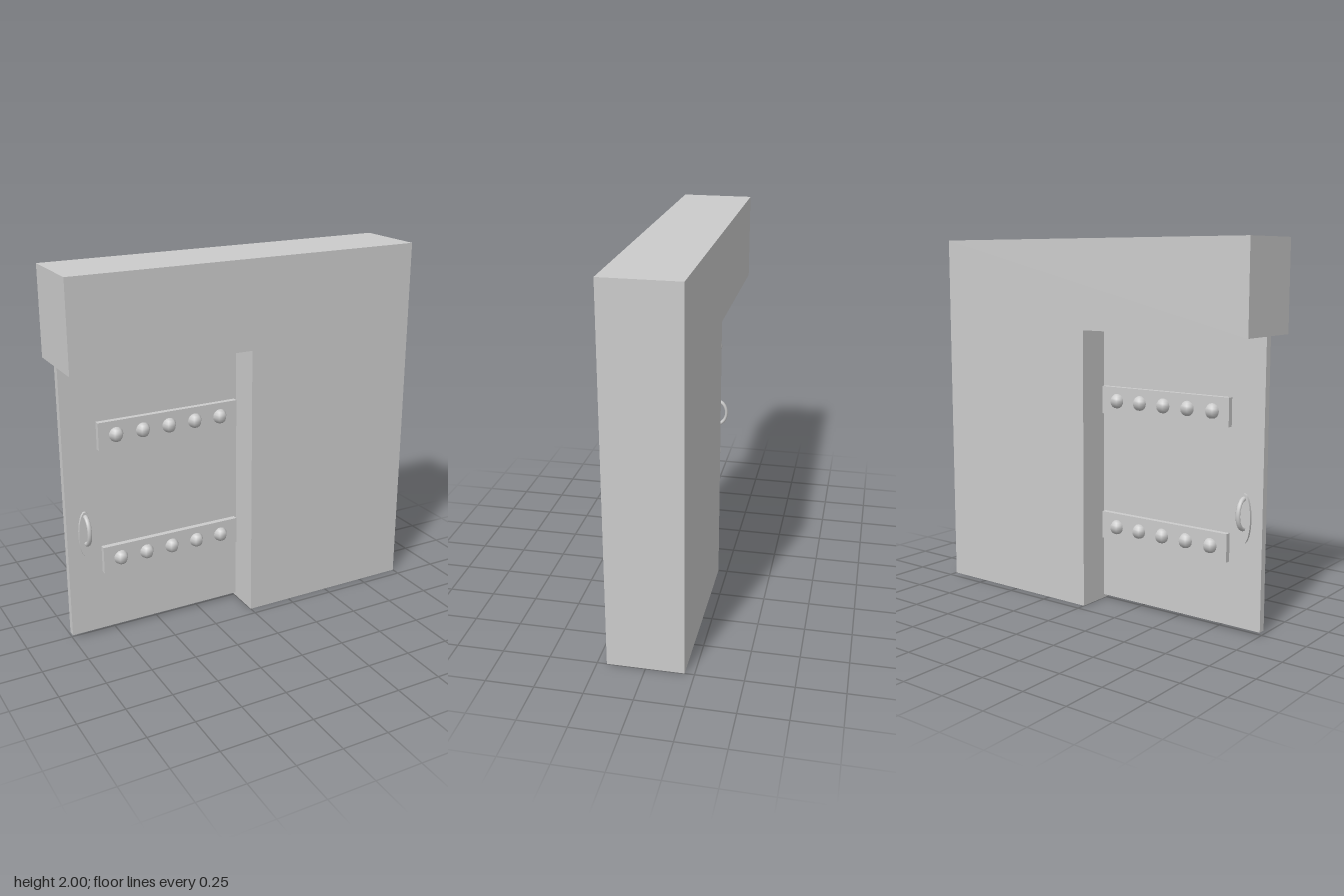
import * as THREE from 'three';

const material = new THREE.MeshStandardMaterial({ color: 0xcccccc });

export function createModel() {
  const model = new THREE.Group();
  model.name = 'doorInWall';

  const add = (parent, name, geometry, x, y, z) => {
    const mesh = new THREE.Mesh(geometry, material);
    mesh.name = name;
    mesh.position.set(x, y, z);
    parent.add(mesh);
    return mesh;
  };

  // L-shaped wall: full-height pier with a lintel over the doorway
  const outline = new THREE.Shape([
    [0, 0], [1, 0], [1, 2], [-1, 2], [-1, 1.52], [0, 1.52],
  ].map(([x, y]) => new THREE.Vector2(x, y)));
  const wall = new THREE.ExtrudeGeometry(outline, { depth: 0.4, bevelEnabled: false });
  add(model, 'wall', wall, 0, 0, -0.2);

  // Thin door leaf, just clear of the ground
  const door = new THREE.Group();
  door.name = 'door';
  model.add(door);
  add(door, 'doorLeaf', new THREE.BoxGeometry(1, 1.5, 0.04), -0.5, 0.77, 0);

  // Straps running through the leaf, with studs on both faces
  const stud = new THREE.SphereGeometry(0.04, 6, 8);
  for (const y of [0.435, 1.135]) {
    add(door, 'strap', new THREE.BoxGeometry(0.8, 0.15, 0.1), -0.413, y, 0);
    for (let i = 0; i < 5; i++) {
      for (const side of [1, -1]) add(door, 'stud', stud, -0.715 + i * 0.15, y, side * 0.05);
    }
  }

  // Oval handle plate with a half-ring pull, on both faces
  const plate = new THREE.CylinderGeometry(1, 1, 0.07, 32).rotateX(Math.PI / 2).scale(0.038, 0.13, 1);
  add(door, 'handlePlate', plate, -0.9, 0.6, 0);
  const pull = new THREE.TorusGeometry(0.077, 0.0125, 10, 24, Math.PI)
    .rotateZ(-Math.PI / 2).rotateY(-Math.PI / 2).scale(1, 1, 0.75);
  for (const side of [1, -1]) {
    const handle = add(door, 'handlePull', pull, -0.9, 0.627, side * 0.033);
    if (side < 0) handle.rotation.y = Math.PI;
  }

  return model;
}
